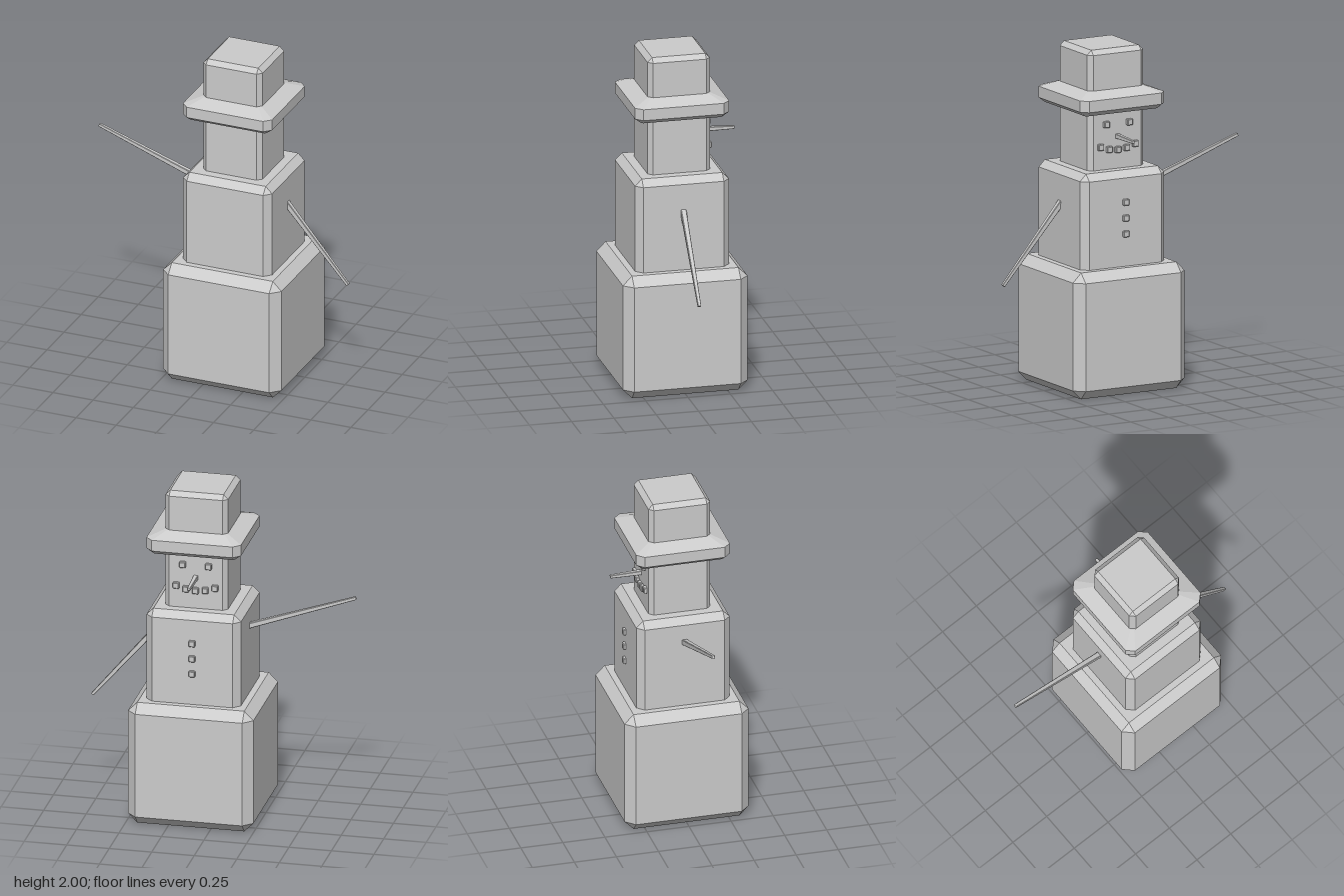
import * as THREE from 'three';
import { ConvexGeometry } from 'three/addons/geometries/ConvexGeometry.js';

const CX = 0.12; // the body axis sits beside the origin because the arms reach unevenly
const material = new THREE.MeshStandardMaterial({ color: 0xcccccc, flatShading: true });

// Box with flat-cut edges and corners; its +y end can be scaled by taper
function chamferBox(w, h, d, b, taper = 1) {
  const points = [];
  for (const sx of [-1, 1]) for (const sy of [-1, 1]) for (const sz of [-1, 1]) {
    const k = sy > 0 ? taper : 1;
    for (const [ix, iy, iz] of [[0, b, b], [b, 0, b], [b, b, 0]]) {
      points.push(new THREE.Vector3(
        sx * (w / 2 - ix) * k, sy * (h / 2 - iy), sz * (d / 2 - iz) * k));
    }
  }
  return new ConvexGeometry(points);
}

// Stack of square rings with cut corners: [y, half width, corner cut]
function ringSolid(rings) {
  const points = [];
  for (const [y, r, c] of rings) {
    for (const sx of [-1, 1]) for (const sz of [-1, 1]) {
      points.push(new THREE.Vector3(sx * r, y, sz * (r - c)));
      points.push(new THREE.Vector3(sx * (r - c), y, sz * r));
    }
  }
  return new ConvexGeometry(points);
}

export function createModel() {
  const model = new THREE.Group();
  model.name = 'snowman';

  function add(name, geometry, x, y, z) {
    const mesh = new THREE.Mesh(geometry, material);
    mesh.name = name;
    mesh.position.set(x, y, z);
    model.add(mesh);
    return mesh;
  }

  // Upright block between two heights
  function block(name, size, y0, y1, bevel) {
    add(name, chamferBox(size, y1 - y0, size, bevel), CX, (y0 + y1) / 2, 0);
  }

  // Tapered square stick from one point to another
  function stick(name, from, to, width, taper) {
    const a = new THREE.Vector3(...from), b = new THREE.Vector3(...to);
    const dir = b.clone().sub(a);
    const mid = a.clone().add(b).multiplyScalar(0.5);
    const mesh = add(name, chamferBox(width, dir.length(), width, width * 0.1, taper), mid.x, mid.y, mid.z);
    mesh.quaternion.setFromUnitVectors(new THREE.Vector3(0, 1, 0), dir.normalize());
  }

  // Body, head and hat crown
  block('lowerBody', 0.737, 0, 0.74, 0.054);
  block('middleBody', 0.555, 0.69, 1.297, 0.04);
  block('head', 0.368, 1.26, 1.68, 0.027);
  block('hatCrown', 0.368, 1.70, 2.0, 0.027);

  // Hat brim: bevelled below, sloping up to the crown
  add('hatBrim', ringSolid([
    [1.635, 0.24, 0.01], [1.664, 0.278, 0.04], [1.73, 0.278, 0.04], [1.765, 0.184, 0.015],
  ]), CX, 0, 0);

  // Stick arms, one raised and one lowered
  stick('rightArm', [-0.05, 1.11, 0], [-0.78, 1.368, 0], 0.034, 0.55);
  stick('leftArm', [0.33, 1.16, 0], [0.77, 0.642, 0], 0.034, 0.55);

  // Nose
  stick('nose', [CX, 1.487, -0.15], [CX, 1.483, -0.368], 0.028, 0.65);

  // Small stones for eyes, mouth and buttons
  const stone = chamferBox(0.037, 0.037, 0.037, 0.004);
  for (const s of [-1, 1]) add('eye', stone, CX + s * 0.076, 1.562, -0.185);
  for (let i = -2; i <= 2; i++) {
    add('mouthStone', stone, CX + i * 0.057, 1.408 + 0.006 * i * i, -0.185);
  }
  for (const y of [1.116, 1.023, 0.93]) add('button', stone, CX, y, -0.276);

  return model;
}
